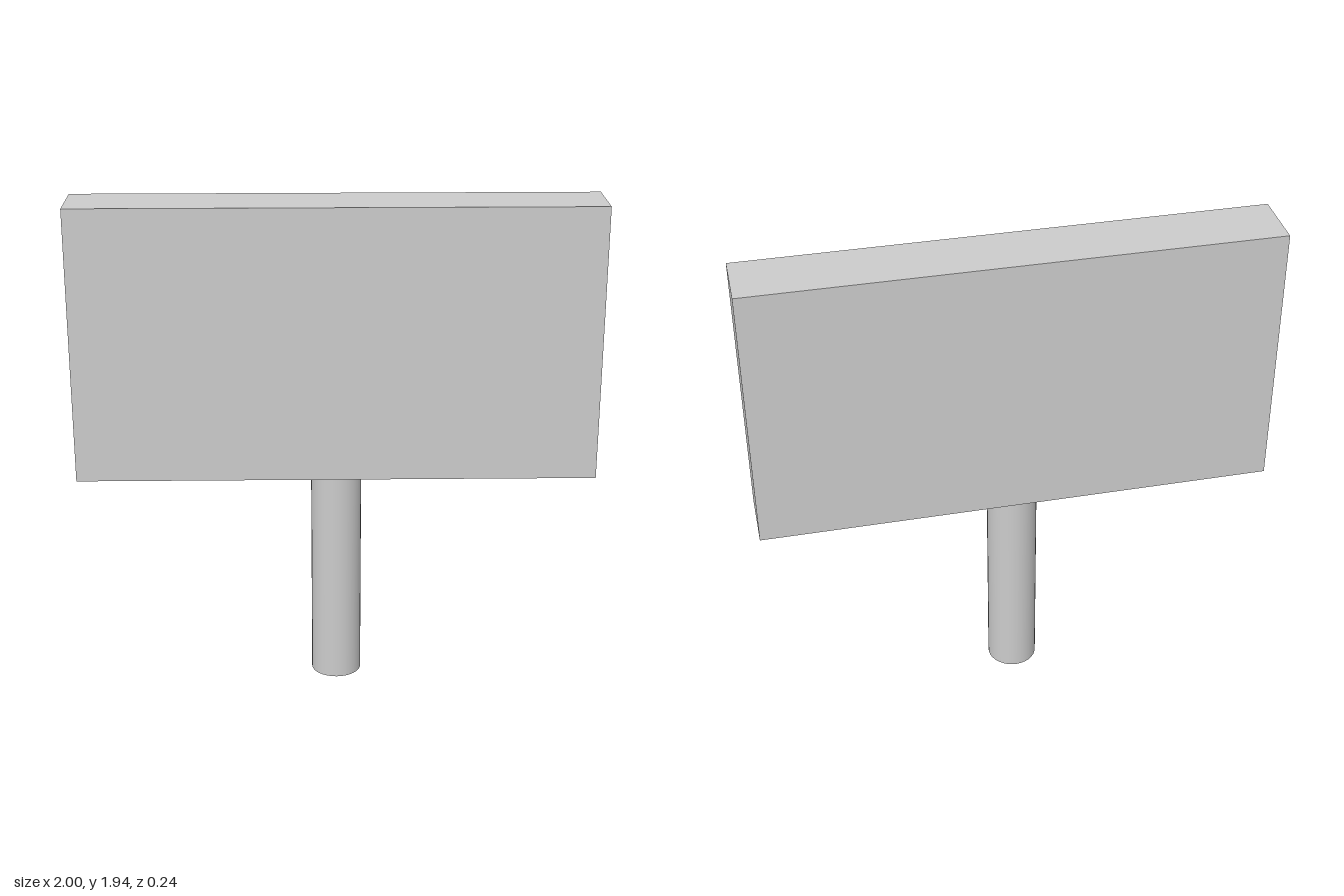
import * as THREE from 'three';

const POLE_RADIUS = 0.098;
const BOARD_BOTTOM = 0.87;
const BOARD_TOP = 1.935;
const BOARD_DEPTH = 0.244;

export function createModel() {
  const group = new THREE.Group();
  group.name = 'signboard';
  const material = new THREE.MeshStandardMaterial({ color: 0xcccccc });

  // Round post, standing on the ground
  const post = new THREE.Mesh(
    new THREE.CylinderGeometry(POLE_RADIUS, POLE_RADIUS, BOARD_BOTTOM, 32),
    material
  );
  post.name = 'post';
  post.position.y = BOARD_BOTTOM / 2;

  // Flat rectangular board on top of the post
  const board = new THREE.Mesh(
    new THREE.BoxGeometry(2, BOARD_TOP - BOARD_BOTTOM, BOARD_DEPTH),
    material
  );
  board.name = 'board';
  board.position.y = (BOARD_BOTTOM + BOARD_TOP) / 2;

  group.add(post, board);
  return group;
}
